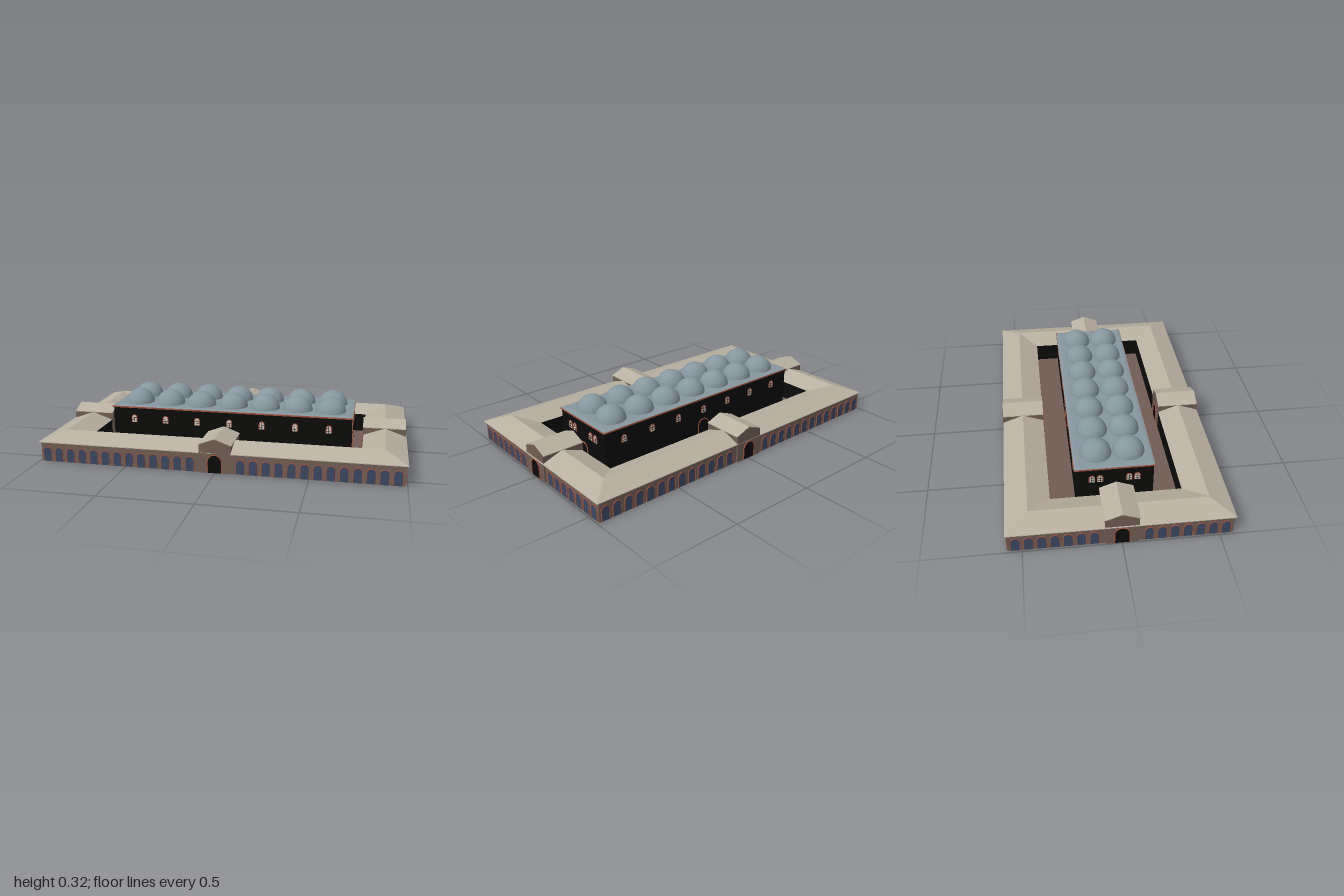
import * as THREE from 'three';

const mat = (name, color, side = THREE.FrontSide) => {
  const m = new THREE.MeshStandardMaterial({ color, side });
  m.name = name;
  return m;
};

export function createModel() {
  const model = new THREE.Group();
  model.name = 'domedMarketHall';
  const stone = mat('brown stone', 0x705d54);
  const tile = mat('pale roof', 0xb8b0a0, THREE.DoubleSide);
  const lead = mat('lead grey', 0x86979f);
  const brick = mat('terracotta trim', 0xa0533e);
  const glass = mat('blue panel', 0x3a4764);
  const dark = mat('dark wall', 0x0c0b0a);
  const cream = mat('cream lattice', 0xcfc6b8);

  const add = (parent, name, geo, material, x = 0, y = 0, z = 0) => {
    const mesh = new THREE.Mesh(geo, material);
    mesh.name = name;
    mesh.position.set(x, y, z);
    parent.add(mesh);
    return mesh;
  };

  // Flat-faced skin through a run of rectangles [halfX, halfZ, y]
  const rectLoft = (levels) => {
    const pos = [];
    const corners = ([x, z, y]) => [[x, y, z], [x, y, -z], [-x, y, -z], [-x, y, z]];
    for (let i = 0; i < levels.length - 1; i++) {
      const lo = corners(levels[i]);
      const hi = corners(levels[i + 1]);
      for (let k = 0; k < 4; k++) {
        const n = (k + 1) % 4;
        pos.push(...lo[k], ...lo[n], ...hi[n], ...lo[k], ...hi[n], ...hi[k]);
      }
    }
    const geo = new THREE.BufferGeometry();
    geo.setAttribute('position', new THREE.Float32BufferAttribute(pos, 3));
    geo.computeVertexNormals();
    return geo;
  };

  // Round-headed panel and its horseshoe frame
  const archPane = (w, h) => {
    const s = new THREE.Shape();
    s.moveTo(-w, 0);
    s.lineTo(w, 0);
    s.lineTo(w, h - w);
    s.absarc(0, h - w, w, 0, Math.PI, false);
    s.closePath();
    return new THREE.ShapeGeometry(s, 8);
  };
  const archFrame = (w, h, t) => {
    const s = new THREE.Shape();
    s.moveTo(-w - t, 0);
    s.lineTo(-w - t, h - w);
    s.absarc(0, h - w, w + t, Math.PI, 0, true);
    s.lineTo(w + t, 0);
    s.lineTo(w, 0);
    s.lineTo(w, h - w);
    s.absarc(0, h - w, w, 0, Math.PI, false);
    s.lineTo(-w, 0);
    s.closePath();
    return new THREE.ExtrudeGeometry(s, { depth: 0.004, bevelEnabled: false, curveSegments: 8 });
  };
  const arch = (name, w, h, t) => ({ name, pane: archPane(w, h), frame: archFrame(w, h, t) });
  const addArch = (parent, kind, paneMat, x, y, z, turn = 0) => {
    const g = new THREE.Group();
    g.name = kind.name;
    g.position.set(x, y, z);
    g.rotation.y = turn;
    add(g, 'pane', kind.pane, paneMat, 0, 0, 0.002);
    add(g, 'frame', kind.frame, brick);
    parent.add(g);
    return g;
  };
  const arcade = arch('arcadeArch', 0.022, 0.08, 0.004);
  const door = arch('doorway', 0.036, 0.098, 0.005);
  const windowArch = arch('hallWindow', 0.013, 0.042, 0.004);

  // Outer ring of shops
  add(model, 'outerWall', rectLoft([[0.988, 0.572, 0], [0.988, 0.572, 0.108]]), stone);
  add(model, 'ringRoof', rectLoft([[0.988, 0.572, 0.108], [1, 0.58, 0.108], [1, 0.58, 0.112],
    [0.88, 0.462, 0.155], [0.76, 0.345, 0.112]]), tile);
  add(model, 'courtyardWall', rectLoft([[0.76, 0.345, 0.112], [0.76, 0.345, 0]]), dark);
  add(model, 'courtyardFloor', rectLoft([[0.76, 0.345, 0.004], [0, 0, 0.004]]), stone);
  add(model, 'underside', rectLoft([[0, 0, 0], [0.988, 0.572, 0]]), dark);

  // Central hall
  add(model, 'hallWalls', rectLoft([[0.695, 0.207, 0.004], [0.695, 0.207, 0.232]]), dark);
  add(model, 'cornice', rectLoft([[0.695, 0.207, 0.231], [0.702, 0.214, 0.231],
    [0.702, 0.214, 0.239], [0.69, 0.2, 0.239]]), brick);
  add(model, 'hallRoof', rectLoft([[0.7, 0.212, 0.2395], [0.68, 0.196, 0.243], [0, 0, 0.243]]), lead);

  // Two rows of seven domes
  const domeGeo = new THREE.SphereGeometry(0.087, 32, 12, 0, Math.PI * 2, 0, Math.PI / 2);
  for (let i = 0; i < 7; i++) {
    for (const z of [-0.088, 0.088]) add(model, 'dome', domeGeo, lead, (i - 3) * 0.19, 0.234, z);
  }

  // Gabled gate body, its length along z
  const gable = new THREE.Shape();
  gable.moveTo(-0.086, 0);
  gable.lineTo(0.086, 0);
  gable.lineTo(0.086, 0.155);
  gable.lineTo(0, 0.187);
  gable.lineTo(-0.086, 0.155);
  gable.closePath();
  const gableRoof = new THREE.Shape();
  gableRoof.moveTo(-0.09, 0.154);
  gableRoof.lineTo(0, 0.1875);
  gableRoof.lineTo(0.09, 0.154);
  gableRoof.lineTo(0.09, 0.158);
  gableRoof.lineTo(0, 0.192);
  gableRoof.lineTo(-0.09, 0.158);
  gableRoof.closePath();

  // Each side faces its own local +z; reach = outer wall, hall = hall wall
  const longWindows = [-0.57, -0.38, -0.19, 0, 0.19, 0.38, 0.57];
  const sides = [
    { turn: 0, wall: 0.572, reach: 0.58, inner: 0.343, hall: 0.207, count: 13, last: 0.952, windows: longWindows },
    { turn: Math.PI / 2, wall: 0.988, reach: 0.996, inner: 0.755, hall: 0.695, count: 7, last: 0.532,
      windows: [-0.12, -0.077, 0.077, 0.12] },
  ];
  for (const s of sides) {
    for (const half of [0, Math.PI]) {
      const side = new THREE.Group();
      side.name = 'facade';
      side.rotation.y = s.turn + half;
      model.add(side);

      // Arcade on both sides of the gate
      for (let i = 0; i < s.count; i++) {
        const x = THREE.MathUtils.lerp(0.138, s.last, i / (s.count - 1));
        for (const m of [-1, 1]) addArch(side, arcade, glass, m * x, 0.001, s.wall);
      }

      // Gate with doors at both ends
      const depth = s.reach - s.inner;
      add(side, 'gateBody', new THREE.ExtrudeGeometry(gable, { depth, bevelEnabled: false }),
        stone, 0, 0.001, s.inner);
      add(side, 'gateRoof', new THREE.ExtrudeGeometry(gableRoof, { depth: depth - 0.002, bevelEnabled: false }),
        tile, 0, 0, s.inner);
      addArch(side, door, dark, 0, 0.002, s.reach);
      addArch(side, door, dark, 0, 0.005, s.inner, Math.PI);

      // Hall door and latticed windows
      addArch(side, door, dark, 0, 0.005, s.hall);
      for (const x of s.windows) {
        const w = addArch(side, windowArch, cream, x, 0.145, s.hall);
        add(w, 'mullion', new THREE.BoxGeometry(0.002, 0.038, 0.002), dark, 0, 0.02, 0.002);
        for (const y of [0.012, 0.026]) {
          add(w, 'glazingBar', new THREE.BoxGeometry(0.024, 0.002, 0.002), dark, 0, y, 0.002);
        }
      }
    }
  }
  return model;
}
